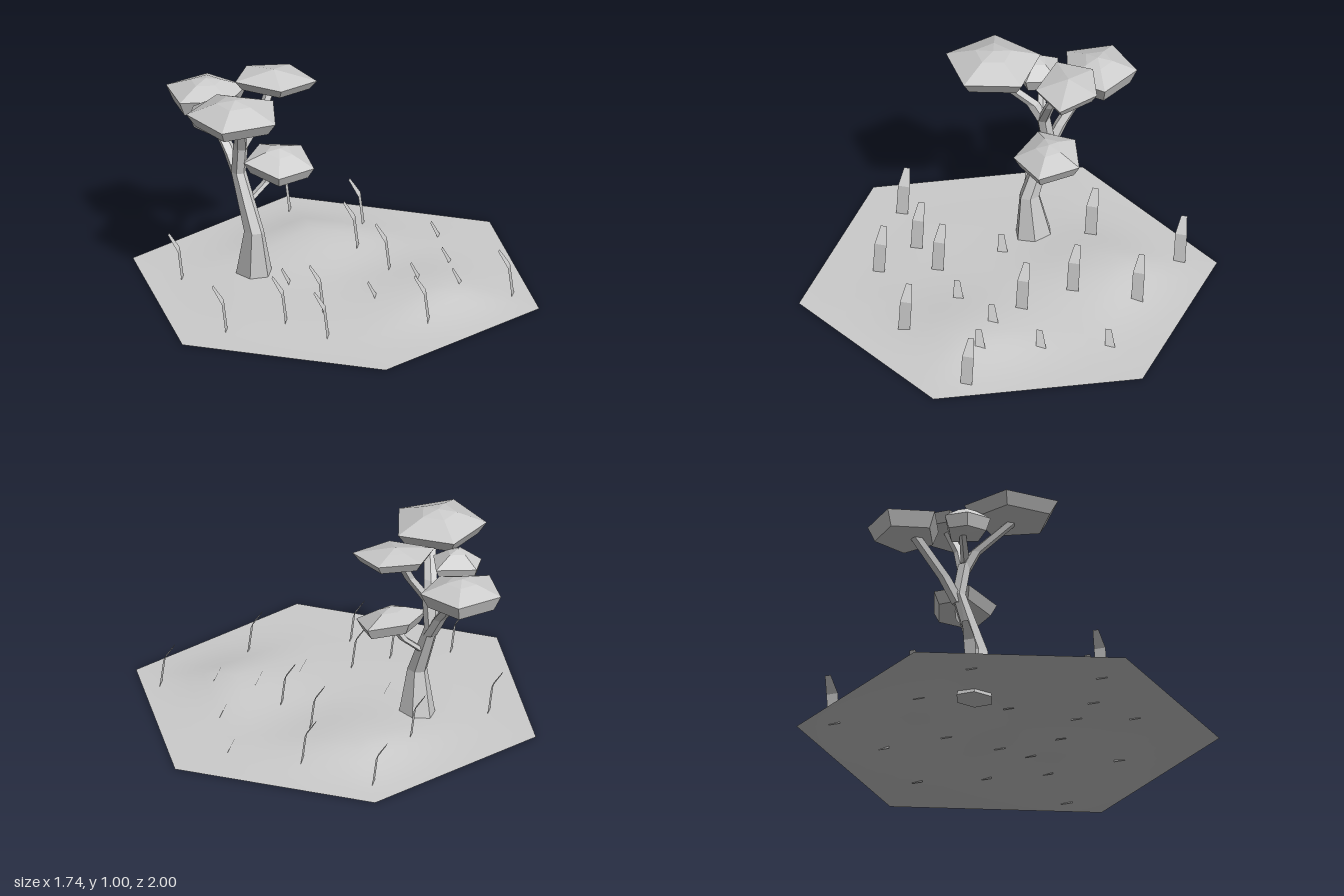
import * as THREE from 'three';
import { mergeVertices } from 'three/addons/utils/BufferGeometryUtils.js';

const flat = new THREE.MeshStandardMaterial({ color: 0xcccccc, flatShading: true, side: THREE.DoubleSide });
const smooth = new THREE.MeshStandardMaterial({ color: 0xcccccc, side: THREE.DoubleSide });

// Skin a stack of rings, each counter-clockwise seen from above, lowest first
function skin(rings, closed = true) {
  const n = rings[0].length, index = [];
  for (let r = 0; r < rings.length - 1; r++) {
    for (let i = 0; i < (closed ? n : n - 1); i++) {
      const a = r * n + i, b = r * n + (i + 1) % n;
      index.push(a, b, b + n, a, b + n, a + n);
    }
  }
  const g = new THREE.BufferGeometry();
  g.setAttribute('position', new THREE.Float32BufferAttribute(rings.flat(2), 3));
  g.setIndex(index);
  g.computeVertexNormals();
  return g;
}

function add(parent, name, geometry, material = flat) {
  const mesh = new THREE.Mesh(geometry, material);
  mesh.name = name;
  parent.add(mesh);
}

// Ground height: two soft hills that fade to zero at the rim
function groundHeight(x, z) {
  const hill = (cx, cz, h, s) => h * Math.exp(-((x - cx) ** 2 + (z - cz) ** 2) / (2 * s * s));
  const edge = Math.max(Math.abs(x) / 0.866, Math.abs(x) / 1.732 + Math.abs(z));
  const fade = Math.min(1, Math.max(0, (1 - edge) / 0.4));
  return fade * (hill(0.45, -0.25, 0.05, 0.25) + hill(-0.4, -0.25, 0.055, 0.25) + hill(0, 0.1, 0.015, 0.5));
}

function ground() {
  let g = new THREE.RingGeometry(0, 1, 48, 12);
  g.rotateX(-Math.PI / 2);
  const p = g.attributes.position;
  for (let i = 0; i < p.count; i++) {
    const x = p.getX(i), z = p.getZ(i);
    // Pull the circle in to a hexagon with corners on the z axis
    const sector = Math.PI / 3;
    const a = ((Math.atan2(z, x) + sector / 2 + Math.PI * 2) % sector) - sector / 2;
    const k = Math.cos(Math.PI / 6) / Math.cos(a);
    p.setXYZ(i, x * k, groundHeight(x * k, z * k), z * k);
  }
  g.deleteAttribute('normal');
  g.deleteAttribute('uv');
  g = mergeVertices(g, 1e-4);
  g.computeVertexNormals();
  return g;
}

// Limb through sections [x, y, z, radiusX, radiusZ], closed at both ends
function limb(sections, sides = 6) {
  const ring = ([x, y, z, rx, rz = rx], k = 1) => Array.from({ length: sides }, (_, i) => {
    const a = (i / sides) * Math.PI * 2;
    return [x + Math.cos(a) * rx * k, y, z - Math.sin(a) * rz * k];
  });
  return skin([ring(sections[0], 0), ...sections.map(s => ring(s)), ring(sections.at(-1), 0)]);
}

// Faceted leaf pad: outline [x, z] clockwise from above, rim bottom / rim top / peak heights, tilt along x
function leafPad(outline, low, mid, top, tilt = 0) {
  const pts = [...outline].reverse();
  const cx = pts.reduce((s, p) => s + p[0], 0) / pts.length;
  const cz = pts.reduce((s, p) => s + p[1], 0) / pts.length;
  const ring = (k, y) => pts.map(([x, z]) => {
    const px = cx + (x - cx) * k;
    return [px, y + (px - cx) * tilt, cz + (z - cz) * k];
  });
  return skin([ring(0, low + 0.005), ring(0.82, low), ring(1, mid), ring(0.38, top - 0.015), ring(0, top)]);
}

// Grass blade from levels [leanX, height, leanZ, width scale]
function blade(x, z, levels) {
  const y = groundHeight(x, z) - 0.005;
  return skin(levels.map(([dx, h, dz, w]) => [-1, 1].map(s =>
    [x + dx + s * 0.017 * w, y + h, z + dz + s * 0.023 * w])), false);
}

export function createModel() {
  const model = new THREE.Group();
  add(model, 'ground', ground(), smooth);

  // Tree
  const tree = new THREE.Group();
  tree.name = 'tree';
  model.add(tree);
  add(tree, 'trunk', limb([
    [-0.335, 0, 0.215, 0.1, 0.085], [-0.32, 0.24, 0.23, 0.053, 0.045],
    [-0.43, 0.51, 0.225, 0.036, 0.036], [-0.405, 0.67, 0.235, 0.034, 0.038]]));
  const branches = {
    frontBranch: [[-0.405, 0.64, 0.235, 0.032], [-0.37, 0.73, 0.27, 0.032], [-0.23, 0.885, 0.38, 0.03]],
    leftBranch: [[-0.425, 0.47, 0.22, 0.034], [-0.5, 0.585, 0.215, 0.032], [-0.66, 0.77, 0.2, 0.03]],
    backBranch: [[-0.405, 0.64, 0.23, 0.03], [-0.37, 0.78, 0.14, 0.026], [-0.38, 0.92, 0.06, 0.024]],
    middleBranch: [[-0.4, 0.68, 0.24, 0.024], [-0.47, 0.79, 0.32, 0.018]],
    lowBranch: [[-0.38, 0.36, 0.22, 0.022], [-0.35, 0.45, 0.12, 0.022], [-0.33, 0.52, 0.08, 0.02]],
  };
  for (const [name, sections] of Object.entries(branches)) add(tree, name, limb(sections, 5));

  // Leaf pads
  add(tree, 'frontLeaves', leafPad(
    [[-0.235, 0.185], [-0.03, 0.365], [-0.13, 0.62], [-0.405, 0.59], [-0.47, 0.33]], 0.87, 0.93, 1.0));
  add(tree, 'leftLeaves', leafPad(
    [[-0.6, 0.01], [-0.525, 0.195], [-0.67, 0.38], [-0.87, 0.28], [-0.83, 0.05]], 0.755, 0.83, 0.89));
  add(tree, 'backLeaves', leafPad(
    [[-0.445, -0.12], [-0.235, -0.1], [-0.26, 0.11], [-0.47, 0.21], [-0.56, 0.05]], 0.905, 0.95, 0.99, -0.06));
  add(tree, 'lowLeaves', leafPad(
    [[-0.35, -0.105], [-0.17, -0.02], [-0.19, 0.19], [-0.38, 0.24], [-0.46, 0.06]], 0.505, 0.56, 0.62, -0.2));
  add(tree, 'middleLeaves', leafPad(
    [[-0.48, 0.21], [-0.355, 0.3], [-0.4, 0.45], [-0.53, 0.45], [-0.6, 0.36]], 0.775, 0.835, 0.9));

  // Grass
  const grass = new THREE.Group();
  grass.name = 'grass';
  model.add(grass);
  const tallLevels = [[0, 0, 0, 1], [-0.018, 0.15, 0.008, 1], [-0.06, 0.225, 0.035, 0.5]];
  const shortLevels = [[0, 0, 0, 0.9], [-0.02, 0.08, 0.035, 0.5]];
  const tall = [[-0.725, -0.39], [-0.36, -0.52], [0.675, -0.51], [0.115, -0.24], [-0.155, -0.29],
    [0.635, 0], [0.205, 0.275], [0.42, 0.45], [0.165, 0.48], [-0.535, 0.49], [0.035, 0.745], [-0.52, 0.02]];
  const short = [[-0.04, -0.71], [0.23, -0.525], [0.47, -0.365], [0.3, -0.255], [0.29, 0.015], [-0.12, 0.185]];
  tall.forEach(([x, z]) => add(grass, 'tallBlade', blade(x, z, tallLevels)));
  short.forEach(([x, z]) => add(grass, 'shortBlade', blade(x, z, shortLevels)));
  return model;
}
